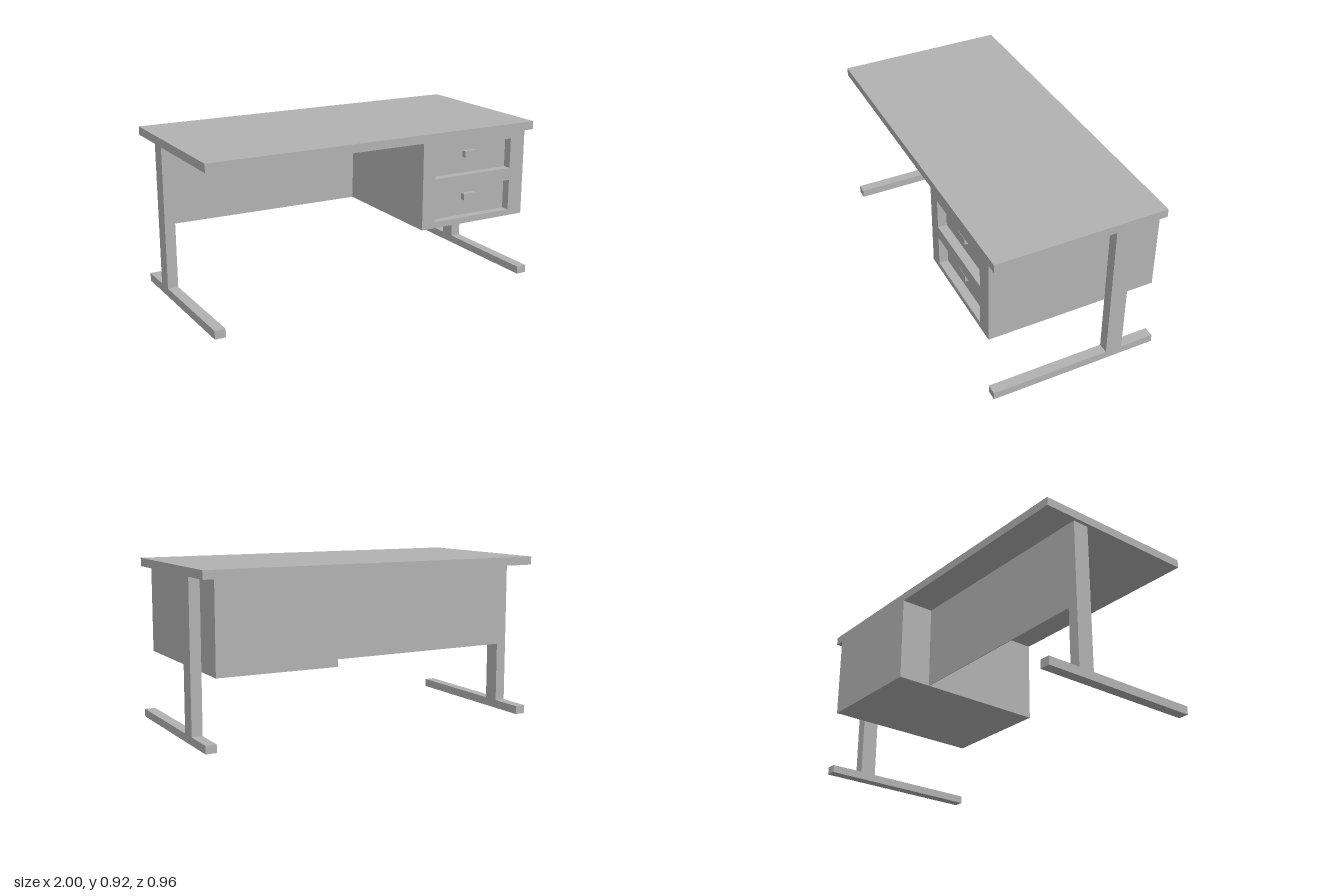
import * as THREE from 'three';

export function createModel() {
  const desk = new THREE.Group();
  desk.name = 'desk';
  const grey = new THREE.MeshStandardMaterial({ color: 0xb2b2b2 });
  grey.name = 'grey';

  const add = (name, geometry) => {
    const mesh = new THREE.Mesh(geometry, grey);
    mesh.name = name;
    desk.add(mesh);
    return mesh;
  };
  // Box given by its extents on each axis
  const box = (name, [x0, x1], [y0, y1], [z0, z1]) =>
    add(name, new THREE.BoxGeometry(x1 - x0, y1 - y0, z1 - z0))
      .position.set((x0 + x1) / 2, (y0 + y1) / 2, (z0 + z1) / 2);
  // Closed outline in the xy plane
  const outline = (Type, points) => new Type(points.map(([x, y]) => new THREE.Vector2(x, y)));
  const rect = ([x0, x1], [y0, y1]) => [[x0, y0], [x1, y0], [x1, y1], [x0, y1]];

  const under = 0.868;
  const topHeight = 0.915;
  const half = 0.48;
  box('tabletop', [-1, 1], [under, topHeight], [-half, half]);

  // Legs: a long foot and an upright set towards the back
  for (const [side, x, floor] of [['right', [-0.98, -0.92], 0], ['left', [0.94, 1], 0.003]]) {
    box(side + 'Foot', x, [floor, 0.047], [-0.477, 0.479]);
    box(side + 'Post', x, [0.047, under], [-0.283, -0.188]);
  }

  // Thin modesty panel between the right post and the drawer cabinet
  const panel = outline(THREE.Shape, [[-0.92, 0.388], [0.26, 0.381], [0.26, under], [-0.92, under]]);
  add('modestyPanel', new THREE.ExtrudeGeometry(panel, { depth: 0.004, bevelEnabled: false }))
    .position.z = -0.283;

  // Drawer cabinet: solid body with a front frame holding two recesses
  const cabinetX = [0.257, 0.94];
  const recess = 0.05;
  const back = half - recess;
  box('cabinetBody', cabinetX, [0.38, under], [-half, back]);
  const frame = outline(THREE.Shape, rect(cabinetX, [0.38, under]));
  const drawers = [
    { name: 'upper', y: [0.66, 0.832], handle: [0.75, 0.787] },
    { name: 'lower', y: [0.414, 0.59], handle: [0.505, 0.542] },
  ];
  for (const { name, y, handle } of drawers) {
    frame.holes.push(outline(THREE.Path, rect([0.338, 0.845], y).reverse()));
    box(name + 'DrawerHandle', [0.549, 0.626], handle, [back, back + 0.03]);
  }
  add('cabinetFrontFrame', new THREE.ExtrudeGeometry(frame, { depth: recess, bevelEnabled: false }))
    .position.z = back;

  return desk;
}
